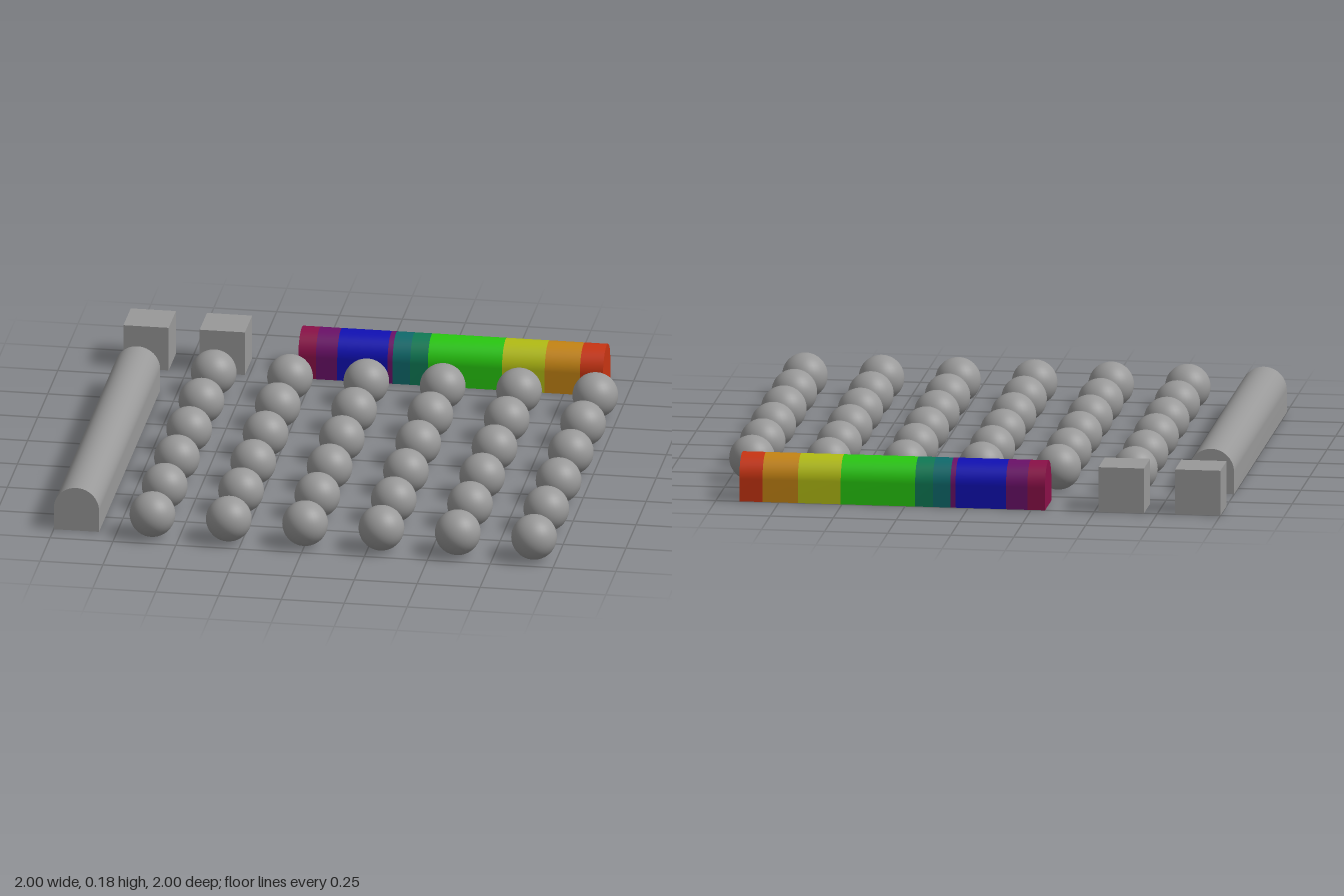
import * as THREE from 'three';

const R = 0.09;        // half width of every piece
const STEP = 0.3035;   // grid spacing

function mat(name, color, side = THREE.DoubleSide) {
  const m = new THREE.MeshStandardMaterial({ color, side });
  m.name = name;
  return m;
}

// Arch outline as [across, up]: straight wall, half circle, straight wall
function archProfile(n = 24) {
  const pts = [[R, 0]];
  for (let i = 0; i <= n; i++) {
    const a = (i / n) * Math.PI;
    pts.push([R * Math.cos(a), R + R * Math.sin(a)]);
  }
  pts.push([-R, 0]);
  return pts;
}

// Arched wall running along x, open underneath
function archWall(x0, x1) {
  const pts = archProfile();
  const geo = new THREE.PlaneGeometry(1, 1, 1, pts.length - 1);
  const pos = geo.attributes.position;
  for (let i = 0; i < pos.count; i++) {
    const row = pts.length - 1 - Math.floor(i / 2);
    pos.setXYZ(i, i % 2 ? x1 : x0, pts[row][1], pts[row][0]);
  }
  geo.computeVertexNormals();
  return geo;
}

// Arched end plate facing along x
function archEnd(x, dir) {
  const shape = new THREE.Shape(archProfile().map(p => new THREE.Vector2(...p)));
  return new THREE.ShapeGeometry(shape).rotateY(dir * Math.PI / 2).translate(x, 0, 0);
}

// Arched bar from consecutive bands [endX, material]
function archBar(name, start, bands) {
  const bar = new THREE.Group();
  bar.name = name;
  const add = (part, geo, m) => {
    const mesh = new THREE.Mesh(geo, m);
    mesh.name = part;
    bar.add(mesh);
  };
  let x = start;
  for (const [end, m] of bands) {
    add('band', archWall(x, end), m);
    x = end;
  }
  add('startCap', archEnd(start, -1), bands[0][1]);
  add('endCap', archEnd(x, 1), bands[bands.length - 1][1]);
  return bar;
}

export function createModel() {
  const model = new THREE.Group();
  model.name = 'shapeSet';

  const gray = mat('gray', 0x999999);
  const crimson = mat('crimson', 0x8a1048);
  const purple = mat('purple', 0x6a1068);
  const blue = mat('blue', 0x1010b4);
  const teal = mat('teal', 0x0f6a6c);
  const seaGreen = mat('seaGreen', 0x0f7a55);
  const green = mat('green', 0x28c810);
  const yellow = mat('yellow', 0xb2bc14);
  const orange = mat('orange', 0xc48414);
  const red = mat('red', 0xc83412);

  // Six by six field of balls
  const ballGeo = new THREE.SphereGeometry(R, 32, 20);
  for (let i = -2; i <= 3; i++) {
    for (let j = -2; j <= 3; j++) {
      const ball = new THREE.Mesh(ballGeo, gray);
      ball.name = 'ball';
      ball.position.set(i * STEP, R, j * STEP);
      model.add(ball);
    }
  }

  // Striped arched bar along the back
  const striped = archBar('stripedBar', -0.305, [
    [-0.235, crimson], [-0.15, purple], [0.05, blue], [0.07, purple], [0.14, teal],
    [0.21, seaGreen], [0.505, green], [0.675, yellow], [0.815, orange], [0.907, red],
  ]);
  striped.position.z = -0.91;
  model.add(striped);

  // Plain arched bar along the side
  const plain = archBar('plainBar', -0.758, [[0.758, gray]]);
  plain.rotation.y = Math.PI / 2;
  plain.position.set(-0.91, 0, 0.15);
  model.add(plain);

  // Plain cube
  const cube = new THREE.Mesh(new THREE.BoxGeometry(2 * R, 2 * R, 2 * R), gray);
  cube.name = 'cube';
  cube.position.set(-2 * STEP, R, -0.91);
  model.add(cube);

  // Layered cube: two square rings under a solid slab
  const layered = new THREE.Group();
  layered.name = 'layeredCube';
  layered.position.set(-0.91, 0, -0.91);
  const square = (Type, h) => new Type([[-h, -h], [h, -h], [h, h], [-h, h]].map(p => new THREE.Vector2(...p)));
  for (let i = 0; i < 3; i++) {
    const outline = square(THREE.Shape, R);
    if (i < 2) outline.holes.push(square(THREE.Path, 0.05));
    const geo = new THREE.ExtrudeGeometry(outline, { depth: 0.06, bevelEnabled: false });
    geo.rotateX(-Math.PI / 2).translate(0, i * 0.06, 0);
    const slab = new THREE.Mesh(geo, gray);
    slab.name = 'layer';
    layered.add(slab);
  }
  model.add(layered);

  return model;
}
